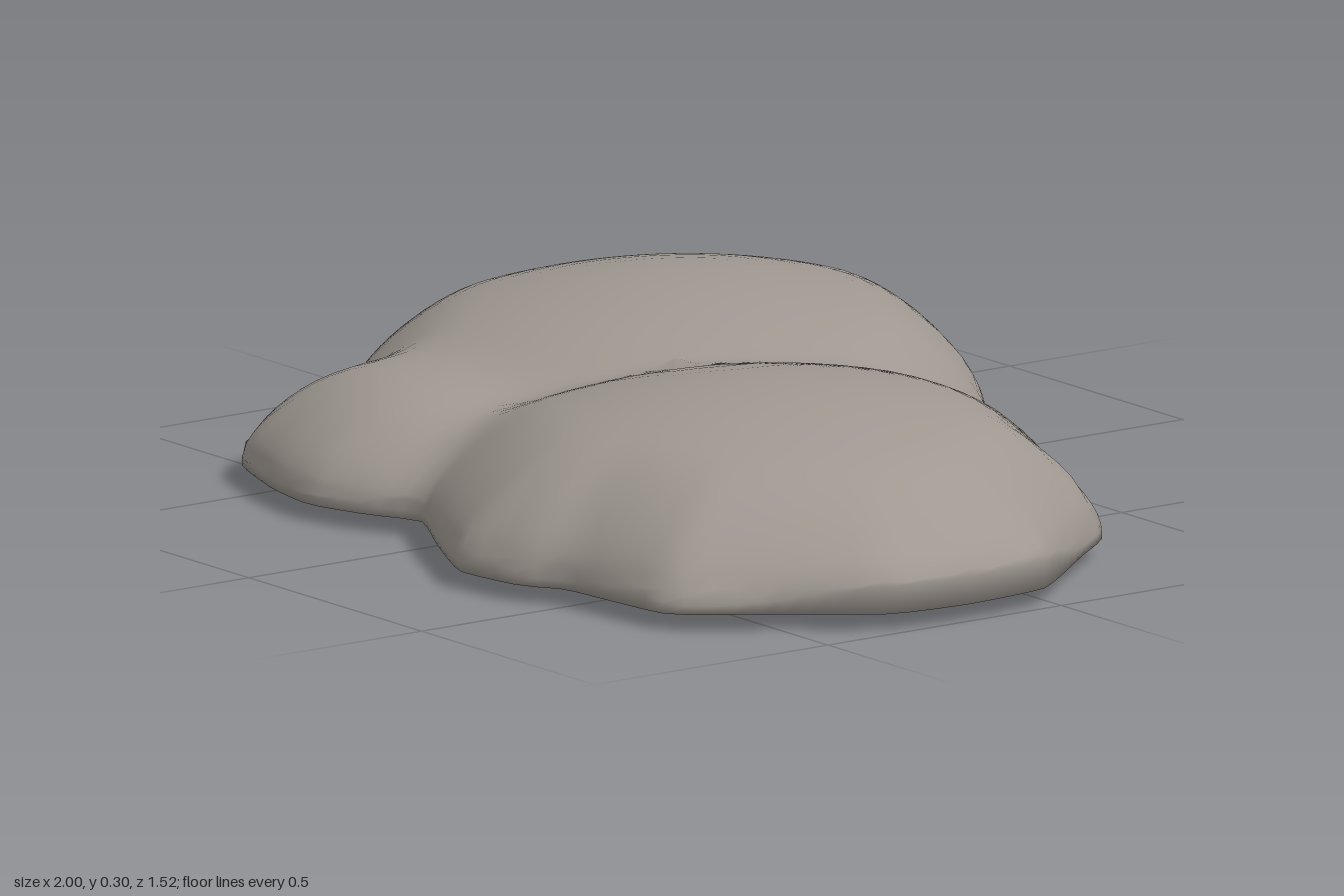
import * as THREE from 'three';

// Footprint of the rock, as x, z pairs, clockwise from above
const OUTLINE = [
  [-0.45, -0.76], [-0.34, -0.76], [-0.1, -0.65], [0.04, -0.56], [0.2, -0.4], [0.26, -0.375], [0.51, -0.365],
  [0.64, -0.3], [0.74, -0.28], [0.82, -0.18], [0.98, 0.02], [1, 0.2], [0.98, 0.35], [0.87, 0.5], [0.75, 0.66],
  [0.5, 0.69], [0.43, 0.735], [0.28, 0.755], [0.1, 0.67], [-0.06, 0.585], [-0.16, 0.63], [-0.28, 0.665],
  [-0.41, 0.645], [-0.58, 0.585], [-0.66, 0.5], [-0.69, 0.3], [-0.82, 0.18], [-0.97, 0.03], [-1, -0.1],
  [-1, -0.3], [-0.94, -0.42], [-0.82, -0.61], [-0.74, -0.68],
];
// Three merged mounds: centre, peak height and fall-off
const MOUNDS = [
  { x: -0.35, z: -0.2, peak: 0.305, fall: 0.39 },
  { x: 0.39, z: 0.16, peak: 0.302, fall: 0.39 },
  { x: -0.36, z: 0.33, peak: 0.215, fall: 0.6 },
];
const BLEND = 0.01;
const CENTRE = { x: -0.05, z: 0.05 };
const SIDES = 132;
const RINGS = 22;

// Shortest distance from a point to the footprint edge
function edgeDistance(x, z) {
  let best = Infinity;
  OUTLINE.forEach(([ax, az], i) => {
    const [bx, bz] = OUTLINE[(i + 1) % OUTLINE.length];
    const dx = bx - ax, dz = bz - az;
    const k = THREE.MathUtils.clamp(((x - ax) * dx + (z - az) * dz) / (dx * dx + dz * dz), 0, 1);
    best = Math.min(best, Math.hypot(x - ax - k * dx, z - az - k * dz));
  });
  return best;
}

// Softly joined mounds, rounded off towards a rim that lifts at the +x end
function topHeight(x, z, t) {
  const sum = MOUNDS.reduce((total, m) =>
    total + Math.exp((m.peak - m.fall * ((x - m.x) ** 2 + (z - m.z) ** 2)) / BLEND), 0);
  const h = BLEND * Math.log(sum);
  const rim = 0.045 + 0.035 * THREE.MathUtils.smoothstep(x, 0.8, 1);
  const d = t === 1 ? 0 : Math.min(edgeDistance(x, z) / 0.22, 1);
  return rim + (h - rim) * Math.sqrt(1 - (1 - d) ** 2);
}

// Nearly flat, gently uneven underside
function baseHeight(x, z, t) {
  const wave = 0.011 * (1 + Math.sin(7 * x + 1.5) * Math.cos(6 * z));
  return THREE.MathUtils.lerp(wave, 0.03, THREE.MathUtils.smoothstep(t, 0.8, 1));
}

function rockGeometry() {
  const curve = new THREE.CatmullRomCurve3(
    OUTLINE.map(([x, z]) => new THREE.Vector3(x, 0, z)), true, 'catmullrom', 0.2);
  const edge = curve.getSpacedPoints(SIDES).slice(0, SIDES);
  const positions = [], indices = [];
  const addRing = (t, height) => edge.forEach(p => {
    const x = THREE.MathUtils.lerp(CENTRE.x, p.x, t);
    const z = THREE.MathUtils.lerp(CENTRE.z, p.z, t);
    positions.push(x, height(x, z, t), z);
  });
  // Rings run out over the top, then back in underneath
  for (let i = 0; i <= RINGS; i++) addRing(0.002 + 0.998 * Math.sin(i / RINGS * Math.PI / 2), topHeight);
  for (const t of [1, 0.96, 0.9, 0.75, 0.55, 0.3, 0.002]) addRing(t, baseHeight);

  const rings = positions.length / 3 / SIDES;
  for (let r = 0; r < rings - 1; r++) {
    for (let s = 0; s < SIDES; s++) {
      const n = (s + 1) % SIDES;
      const a = r * SIDES + s, b = r * SIDES + n;
      const c = a + SIDES, d = b + SIDES;
      indices.push(a, d, c, a, b, d);
    }
  }
  // Tiny caps close both centres
  const last = (rings - 1) * SIDES;
  for (let s = 1; s < SIDES - 1; s++) {
    indices.push(0, s + 1, s, last, last + s, last + s + 1);
  }
  const geometry = new THREE.BufferGeometry();
  geometry.setAttribute('position', new THREE.Float32BufferAttribute(positions, 3));
  geometry.setIndex(indices);
  geometry.computeVertexNormals();
  return geometry;
}

export function createModel() {
  const stone = new THREE.MeshStandardMaterial({ color: 0x9f9891 });
  stone.name = 'stone';
  const rock = new THREE.Mesh(rockGeometry(), stone);
  rock.name = 'rock';
  const group = new THREE.Group();
  group.name = 'flatRock';
  group.add(rock);
  return group;
}
